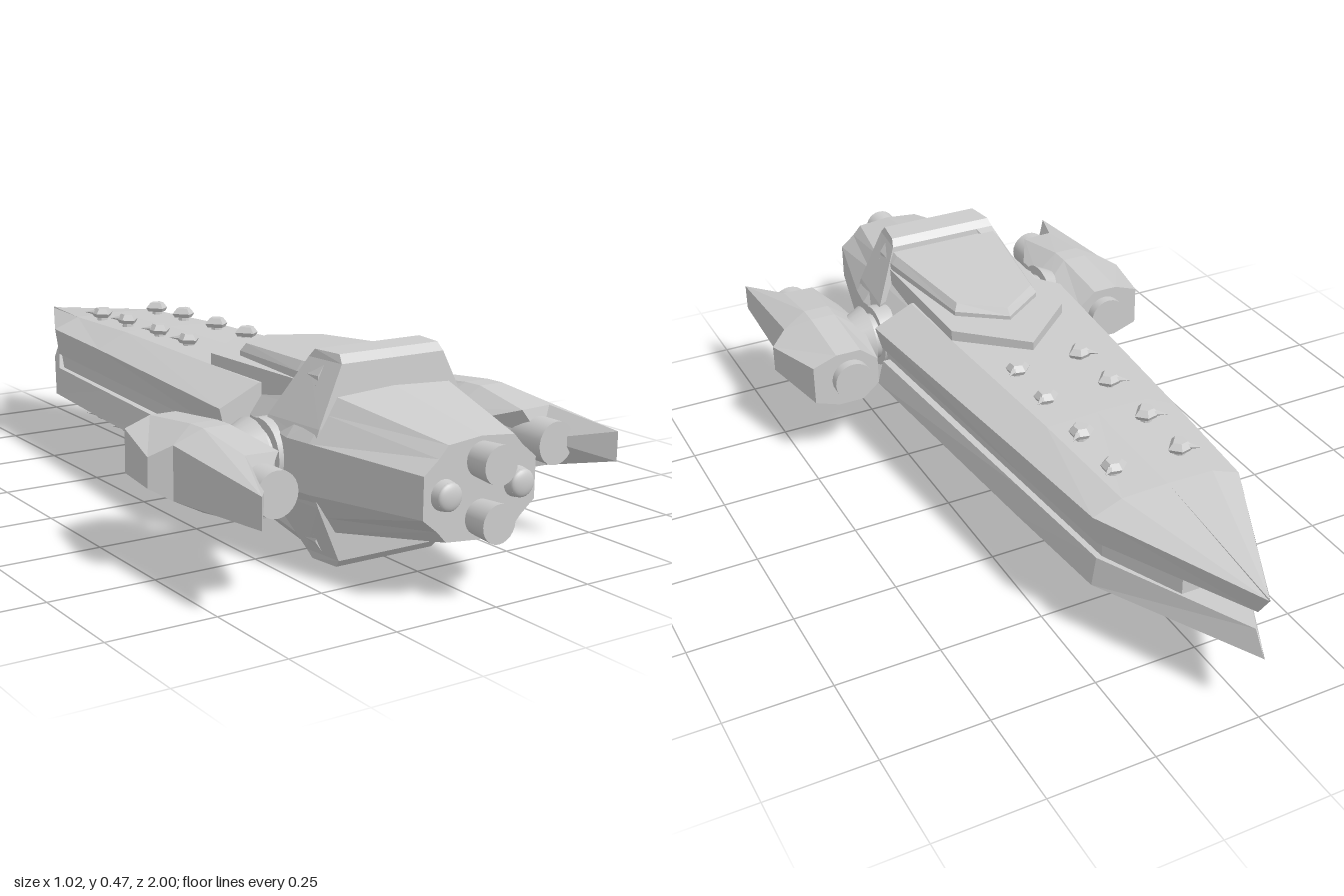
import * as THREE from 'three';

const MID = 0.237; // height of the horizontal mirror plane
const mat = new THREE.MeshStandardMaterial({ color: 0xcccccc, flatShading: true });
const smooth = new THREE.MeshStandardMaterial({ color: 0xcccccc });

// Closed faceted solid through rings of [x, y, z]; y is measured from MID
function loft(rings, sx = 1, sy = 1) {
  const n = rings[0].length;
  const R = rings.map(r => r.map(p => new THREE.Vector3(p[0] * sx, p[1] * sy, p[2])));
  const tris = [];
  for (let i = 0; i < R.length - 1; i++) {
    for (let j = 0; j < n; j++) {
      const k = (j + 1) % n;
      tris.push([R[i][j], R[i][k], R[i + 1][k]], [R[i][j], R[i + 1][k], R[i + 1][j]]);
    }
  }
  const center = r => r.reduce((s, p) => s.add(p), new THREE.Vector3()).divideScalar(n);
  const a = R[0], b = R[R.length - 1], ca = center(a), cb = center(b);
  for (let j = 0; j < n; j++) {
    const k = (j + 1) % n;
    tris.push([ca, a[k], a[j]], [cb, b[j], b[k]]);
  }
  // Keep the faces outward whatever the mirroring
  const volume = tris.reduce((s, t) => s + t[0].dot(t[1].clone().cross(t[2])), 0);
  const pos = [];
  tris.forEach(t => (volume < 0 ? [t[0], t[2], t[1]] : t).forEach(p => pos.push(p.x, p.y, p.z)));
  const g = new THREE.BufferGeometry();
  g.setAttribute('position', new THREE.Float32BufferAttribute(pos, 3));
  g.computeVertexNormals();
  return g;
}

// Half outline (x >= 0) completed with its x mirror
const mirrorX = pts => [...pts, ...pts.filter(p => p[0] > 0).reverse().map(p => [-p[0], p[1], p[2]])];

export function createModel() {
  const ship = new THREE.Group();
  ship.name = 'starship';
  const body = new THREE.Group();
  body.name = 'body';
  body.position.y = MID;
  ship.add(body);

  const add = (name, geo, material = mat, parent = body) => {
    const m = new THREE.Mesh(geo, material);
    m.name = name;
    parent.add(m);
    return m;
  };
  const tube = (name, r0, r1, x, y, z0, z1) => {
    const g = new THREE.CylinderGeometry(r1, r0, z1 - z0, 24).rotateX(Math.PI / 2);
    g.translate(x, y, (z0 + z1) / 2);
    return add(name, g, smooth);
  };

  // Hull plates: [z, half width, ridge height, edge height, underside, underside z]
  const hull = [
    [0.385, 0.27, 0.132, 0.082, 0.02, 0.385],
    [-0.3, 0.212, 0.13, 0.09, 0.02, -0.3],
    [-0.61, 0.185, 0.12, 0.09, 0.02, -0.61],
    [-1, 0.001, 0.077, 0.075, 0.022, -0.965],
  ].map(([z, w, t, e, b, zb]) => mirrorX([
    [0, t, z], [w * 0.62, t - 0.003, z], [w, e, z], [w * 0.94, b, zb], [0, b, zb],
  ]));

  // Pointed decks: foundation, then the raised canopy with bevelled rim
  const outline = (pts, y0, slope) => mirrorX(pts.map(([x, z]) => [x, y0 + slope * (z - 0.15), z]));
  const base = [[0, 0.02], [0.155, 0.16], [0.165, 0.6], [0, 0.6]];
  const rim = [[0, 0.145], [0.115, 0.225], [0.16, 0.52], [0.16, 0.6], [0, 0.6]];
  const top = [[0, 0.16], [0.105, 0.235], [0.145, 0.52], [0.145, 0.6], [0, 0.6]];
  const foundation = [outline(base, 0.08, 0), outline(base, 0.155, 0.02)];
  const canopy = [outline(rim, 0.1, 0), outline(rim, 0.165, 0.04), outline(top, 0.182, 0.05)];

  // Collar fin: [y, half width, forward z at side, forward z at middle, rear z]
  const collar = [
    [0.05, 0.225, 0.49, 0.53, 0.66],
    [0.085, 0.212, 0.49, 0.53, 0.66],
    [0.215, 0.145, 0.545, 0.545, 0.65],
    [0.233, 0.14, 0.56, 0.56, 0.635],
  ].map(([y, w, zs, zm, zr]) => mirrorX([
    [0, y, zm], [w * 0.68, y, zm], [w, y, zs], [w * 0.93, y, zr], [0, y, zr],
  ]));

  for (const sy of [1, -1]) {
    const side = sy > 0 ? 'upper' : 'lower';
    add(side + 'HullPlate', loft(hull, 1, sy));
    add(side + 'DeckBase', loft(foundation, 1, sy));
    add(side + 'Canopy', loft(canopy, 1, sy));
    add(side + 'Collar', loft(collar, 1, sy));
  }

  // Recessed core between the plates
  add('hullCore', loft([[0.4, 0.235], [-0.61, 0.16], [-0.8, 0.075]].map(([z, w]) => [
    [w, 0.04, z], [-w, 0.04, z], [-w, -0.04, z], [w, -0.04, z],
  ])));

  // Engine housing: sloped octagonal section with steep shoulder strips
  const housing = [
    [0.38, [[0.13, 0.13], [0.16, 0.1], [0.19, 0.06]]],
    [0.58, [[0.155, 0.15], [0.18, 0.115], [0.225, 0.055]]],
    [0.65, [[0.15, 0.148], [0.175, 0.112], [0.215, 0.055]]],
    [0.94, [[0.085, 0.1], [0.108, 0.075], [0.145, 0.045]]],
  ].map(([z, pts]) => {
    const up = [[0, pts[0][1] + 0.008], ...pts];
    const half = [...up, ...up.slice().reverse().map(([x, y]) => [x, -y])];
    return mirrorX(half.map(([x, y]) => [x, y, z]));
  });
  add('engineHousing', loft(housing));

  // Exhaust nozzles
  for (const s of [1, -1]) {
    tube('mainNozzle', 0.036, 0.042, 0, s * 0.06, 0.92, 1);
    tube('sideNozzle', 0.036, 0.03, s * 0.094, 0, 0.92, 0.958);
    const dome = new THREE.SphereGeometry(0.03, 20, 8, 0, Math.PI * 2, 0, Math.PI / 2);
    dome.scale(1, 0.4, 1).rotateX(Math.PI / 2).translate(s * 0.094, 0, 0.958);
    add('sideNozzleDome', dome, smooth);
  }

  // Nacelles: each ring lists inner, top and outer corners, rear ring swept into a fin
  const nacelle = [
    [[0.295, 0.035, 0.315], [0.34, 0.072, 0.315], [0.405, 0.072, 0.315], [0.468, 0.05, 0.315]],
    [[0.275, 0.045, 0.46], [0.34, 0.09, 0.49], [0.405, 0.09, 0.49], [0.512, 0.034, 0.495]],
    [[0.275, 0.045, 0.53], [0.34, 0.091, 0.54], [0.405, 0.091, 0.54], [0.468, 0.06, 0.525]],
    [[0.28, 0.04, 0.62], [0.325, 0.068, 0.7], [0.405, 0.07, 0.7], [0.465, 0.034, 0.855]],
  ].map(r => [...r, ...r.slice().reverse().map(([x, y, z]) => [x, -y, z])]);
  for (const s of [1, -1]) {
    const side = s > 0 ? 'left' : 'right';
    add(side + 'Nacelle', loft(nacelle, s));
    tube(side + 'NacelleIntake', 0.05, 0.05, s * 0.37, 0, 0.29, 0.4);
    tube(side + 'NacelleExhaust', 0.05, 0.05, s * 0.37, 0, 0.6, 0.765);
    // Stepped round joint to the body
    for (const [x0, x1, r0, r1] of [[0.18, 0.235, 0.08, 0.08], [0.235, 0.265, 0.06, 0.06], [0.258, 0.31, 0.085, 0.06]]) {
      const g = new THREE.CylinderGeometry(r0, r1, x1 - x0, 24).rotateZ(s * Math.PI / 2);
      add(side + 'Joint', g.translate(s * (x0 + x1) / 2, 0, 0.49), smooth);
    }
  }

  // Turrets, angled outward and forward on both faces of the hull
  const plan = [[-0.022, -0.024], [0.01, -0.026], [0.03, 0], [0.01, 0.026], [-0.022, 0.024]];
  const head = loft([plan.map(([x, z]) => [x * 0.8, 0.008, z * 0.8]),
    plan.map(([x, z]) => [x, 0.018, z]), plan.map(([x, z]) => [x * 0.6, 0.032, z * 0.6])]);
  const neck = new THREE.CylinderGeometry(0.013, 0.016, 0.03, 8);
  const barrel = new THREE.ConeGeometry(0.01, 0.04, 6).rotateZ(-Math.PI / 2).translate(0.03, 0.02, 0);
  for (const sy of [1, -1]) for (const sx of [1, -1]) {
    [-0.52, -0.375, -0.205, -0.06].forEach((z, i) => {
      const turret = new THREE.Group();
      turret.name = 'turret';
      turret.position.set(sx * 0.085, sy * (i === 0 ? 0.121 : 0.127), z);
      turret.rotation.set(sy > 0 ? 0 : Math.PI, sy * (sx > 0 ? 0.7 : Math.PI - 0.7), 0);
      add('turretHead', head, mat, turret);
      add('turretNeck', neck, mat, turret);
      add('turretBarrel', barrel, mat, turret);
      body.add(turret);
    });
  }
  return ship;
}
